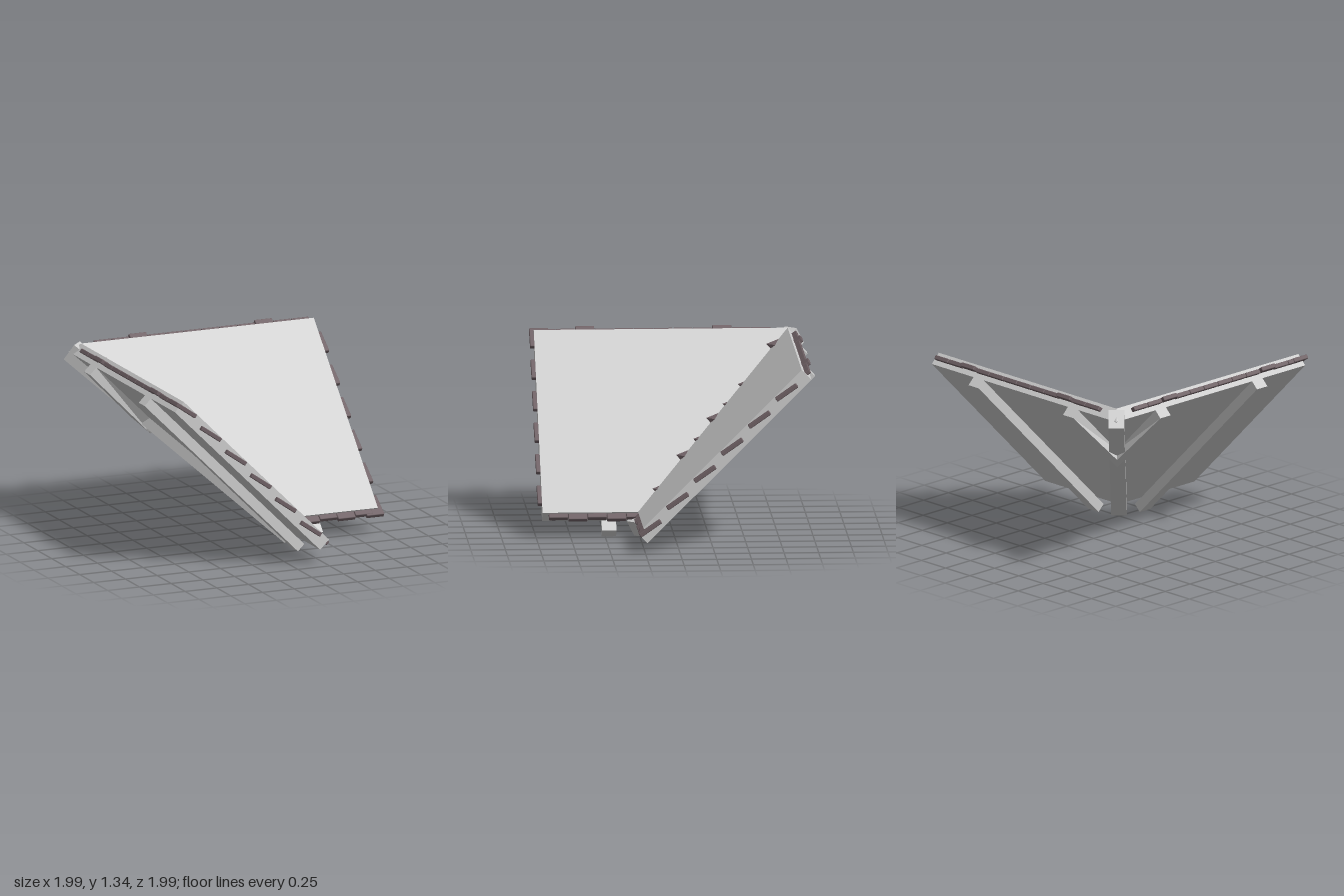
import * as THREE from 'three';
import { ConvexGeometry } from 'three/addons/geometries/ConvexGeometry.js';
import { RoundedBoxGeometry } from 'three/addons/geometries/RoundedBoxGeometry.js';

const wood = new THREE.MeshStandardMaterial({ color: 0xcccccc, flatShading: true });
const clay = new THREE.MeshStandardMaterial({ color: 0x6e6064 });
const TILT = 0.61; // shingles lie a little flatter than the 45 degree roof

// Four-sided plank on the slope y = k - z, thickness set by d.
// Points are [x, z, mitred] and counterclockwise from above.
function slopePlank(name, points, k, d) {
  const top = points.map(([x, z]) => [x, k - z, z]);
  const bottom = points.map(([x, z, mitred]) => [mitred ? x - d : x, k - z - d, z - d]);
  const index = [0, 1, 2, 0, 2, 3, 6, 5, 4, 7, 6, 4];
  for (let i = 0; i < 4; i++) {
    const j = (i + 1) % 4;
    index.push(j, i, i + 4, j, i + 4, j + 4);
  }
  let g = new THREE.BufferGeometry();
  g.setAttribute('position', new THREE.Float32BufferAttribute([...top, ...bottom].flat(), 3));
  g.setIndex(index);
  g = g.toNonIndexed();
  g.computeVertexNormals();
  const mesh = new THREE.Mesh(g, wood);
  mesh.name = name;
  return mesh;
}

const tileGeometry = new RoundedBoxGeometry(0.138, 0.032, 0.185, 1, 0.006);

// One roof half sloping down to +z, with its valley edge on x = z
function roofHalf(name, gableX, firstRow) {
  const half = new THREE.Group();
  half.name = name;

  half.add(slopePlank('roofPanel',
    [[0.955, -0.88], [-0.88, -0.88, true], [0.265, 0.265, true], [0.955, 0.265]], 0.45, 0.07));

  // Rafters: one full length, one cut off at the valley
  half.add(slopePlank('rafter',
    [[0.525, -0.95], [0.42, -0.95], [0.42, 0.26], [0.525, 0.26]], 0.31, 0.05));
  half.add(slopePlank('shortRafter',
    [[-0.45, -0.95], [-0.555, -0.95], [-0.555, -0.555, true], [-0.45, -0.45, true]], 0.31, 0.05));

  const addTile = (part, x, z) => {
    const tile = new THREE.Mesh(tileGeometry, clay);
    tile.name = part;
    tile.position.set(x, 0.4 - z, z);
    tile.rotation.x = TILT;
    half.add(tile);
  };
  for (let i = 0; i < 12; i++) addTile('ridgeTile', -0.69 + i * 0.1415, i % 7 === 2 ? -0.88 : -0.865);
  for (let i = 0; i < 5; i++) addTile('eaveTile', 0.28 + i * 0.14, i % 2 ? 0.215 : 0.205);
  for (let i = 0; i < 6; i++) addTile('gableTile', gableX, firstRow + i * 0.197);
  return half;
}

// Tile corner poking out of the valley at x = z = t
function valleyTile(t, s) {
  const surface = (x, z) => new THREE.Vector3(x, 0.45 - Math.min(x, z), z);
  const mesh = new THREE.Mesh(new ConvexGeometry([
    surface(t - 0.05 * s, t - 0.05 * s),
    surface(t - 0.02 * s, t + 0.04 * s),
    surface(t + 0.04 * s, t - 0.02 * s),
    surface(t + 0.01 * s, t + 0.01 * s),
  ]), clay);
  mesh.name = 'valleyTile';
  return mesh;
}

export function createModel() {
  const model = new THREE.Group();
  model.name = 'roofValleyCorner';

  model.add(roofHalf('frontSlope', 0.925, -0.77));
  // Second half is the first mirrored across the valley plane x = z
  const side = roofHalf('sideSlope', 0.917, -0.87);
  side.scale.x = -1;
  side.rotation.y = Math.PI / 2;
  model.add(side);

  // Valley beam along the diagonal
  const across = new THREE.Vector3(1, 0, -1).normalize();
  const up = new THREE.Vector3(1, 2, 1).normalize();
  const along = new THREE.Vector3(1, -1, 1).normalize();
  const beam = new THREE.Mesh(new THREE.BoxGeometry(0.113, 0.14, 2.096), wood);
  beam.name = 'valleyBeam';
  beam.quaternion.setFromRotationMatrix(new THREE.Matrix4().makeBasis(across, up, along));
  beam.position.set(-0.355, 0.61, -0.355).addScaledVector(up, 0.07);
  model.add(beam);

  const corners = [[-0.76, 1], [-0.52, 0.5], [-0.4, 0.4], [-0.3, 1], [-0.18, 0.5], [-0.07, 1], [0.13, 0.55]];
  for (const [t, s] of corners) model.add(valleyTile(t, s));

  return model;
}
